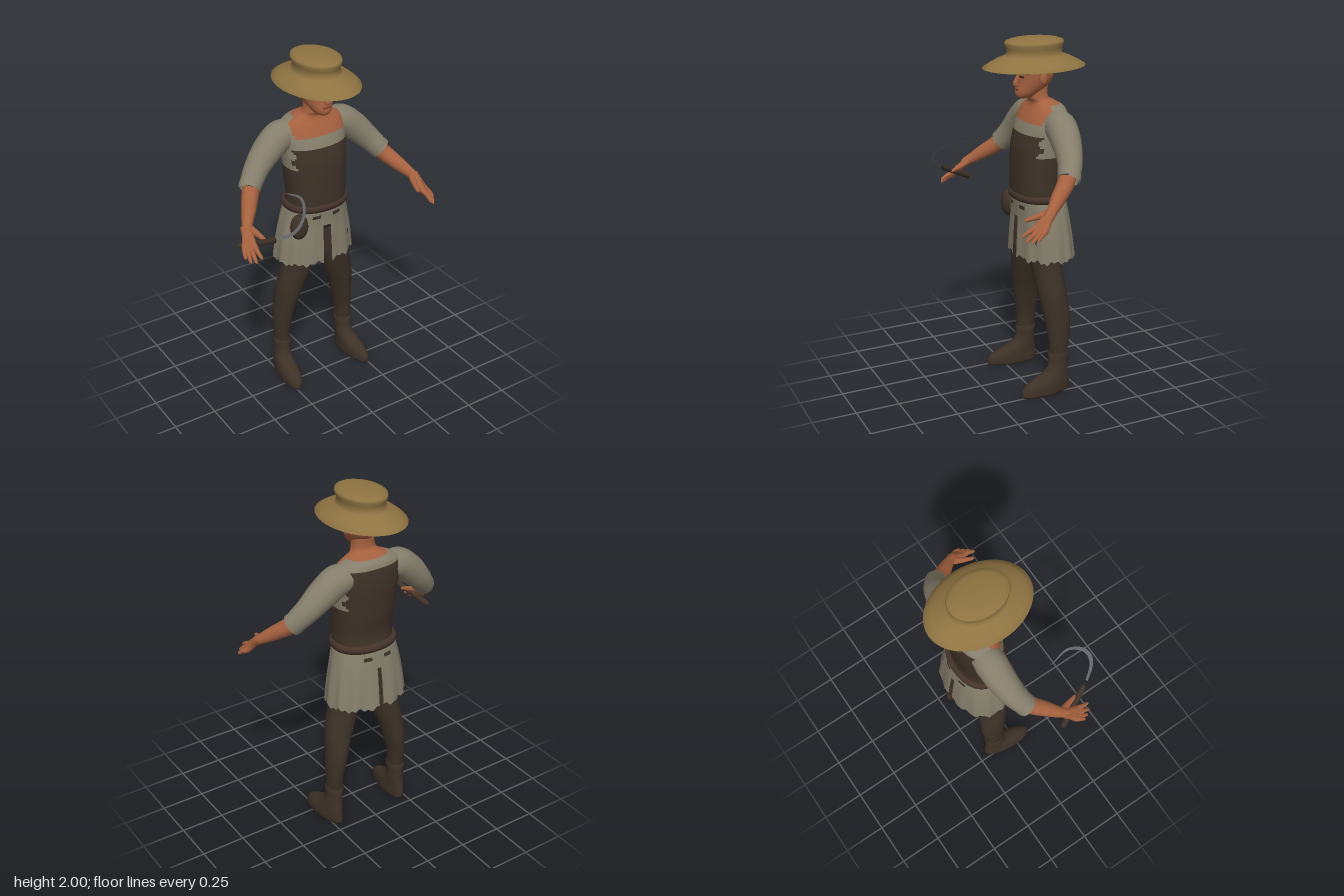
import * as THREE from 'three';

const mat = (name, color, side = THREE.FrontSide) => {
  const m = new THREE.MeshStandardMaterial({ color, side });
  m.name = name;
  return m;
};
const D = THREE.DoubleSide;

// Stack of oval rings, bottom to top: [y, centreX, halfWidth, zFront, zBack].
// rule(x, y, z) picks the material index per quad (-1 leaves a hole).
function loft(sections, { rows = 0, segs = 32, power = 1, rule = () => 0, warp } = {}) {
  const sample = (t) => {
    const f = t * (sections.length - 1), i = Math.min(Math.floor(f), sections.length - 2), k = f - i;
    const at = (j) => sections[Math.max(0, Math.min(sections.length - 1, j))];
    return sections[i].map((_, c) => {
      const [a, b, d, e] = [at(i - 1)[c], at(i)[c], at(i + 1)[c], at(i + 2)[c]];
      return b + 0.5 * k * (d - a + k * (2 * a - 5 * b + 4 * d - e + k * (3 * (b - d) + e - a)));
    });
  };
  const n = rows || sections.length - 1, pos = [], v = new THREE.Vector3();
  for (let i = 0; i <= n; i++) {
    const [y, cx, hw, zf, zb] = rows ? sample(i / n) : sections[i];
    for (let j = 0; j < segs; j++) {
      const a = (j / segs) * Math.PI * 2, c = Math.cos(a), s = Math.sin(a);
      v.set(cx + hw * Math.sign(c) * Math.abs(c) ** power, y,
        (zf + zb) / 2 + ((zf - zb) / 2) * Math.sign(s) * Math.abs(s) ** power);
      if (warp) warp(v, a, i / n);
      pos.push(v.x, v.y, v.z);
    }
  }
  const lists = [];
  for (let i = 0; i < n; i++) for (let j = 0; j < segs; j++) {
    const A = i * segs + j, B = i * segs + ((j + 1) % segs), C = A + segs, E = B + segs;
    const mid = (k) => (pos[A * 3 + k] + pos[B * 3 + k] + pos[C * 3 + k] + pos[E * 3 + k]) / 4;
    const m = rule(mid(0), mid(1), mid(2));
    if (m >= 0) (lists[m] ??= []).push(A, C, B, C, E, B);
  }
  const g = new THREE.BufferGeometry();
  g.setAttribute('position', new THREE.Float32BufferAttribute(pos, 3));
  g.setIndex(lists.flat());
  let start = 0;
  lists.forEach((l, m) => { g.addGroup(start, l.length, m); start += l.length; });
  g.computeVertexNormals();
  return g;
}

// Round limb through [x, y, z, radius] points
function limb(points, steps = 20, sides = 16) {
  const curve = new THREE.CatmullRomCurve3(points.map((p) => new THREE.Vector3(p[0], p[1], p[2])));
  const g = new THREE.TubeGeometry(curve, steps, 1, sides), p = g.attributes.position, v = new THREE.Vector3();
  for (let i = 0; i <= steps; i++) {
    const c = curve.getPointAt(i / steps), f = curve.getUtoTmapping(i / steps) * (points.length - 1);
    const k = Math.min(Math.floor(f), points.length - 2);
    const r = THREE.MathUtils.lerp(points[k][3], points[k + 1][3], f - k);
    for (let j = 0; j <= sides; j++) {
      const q = i * (sides + 1) + j;
      v.fromBufferAttribute(p, q).sub(c).multiplyScalar(r).add(c);
      p.setXYZ(q, v.x, v.y, v.z);
    }
  }
  return g;
}

export function createModel() {
  const root = new THREE.Group();
  root.name = 'farmWorker';
  const skin = mat('skin', 0xa5613f), cloth = mat('linen', 0x857e6b, D), leather = mat('leather', 0x3e3227, D);
  const wool = mat('leggings', 0x3b3126), straw = mat('straw', 0x8f7442, D), beltMat = mat('belt', 0x44342a);
  const steel = mat('steel', 0x62666a, D), dark = mat('faceDark', 0x3f241a), lip = mat('lips', 0x7d4430);
  const add = (name, geo, material) => {
    const m = new THREE.Mesh(geo, material);
    m.name = name;
    root.add(m);
    return m;
  };

  // Straw hat
  const hat = [[.205, 1.838], [.217, 1.842], [.19, 1.864], [.155, 1.887], [.125, 1.902], [.114, 1.918], [.118, 1.945],
    [.125, 1.966], [.122, 1.98], [.1, 1.99], [.06, 1.997], [0, 2]].map((p) => new THREE.Vector2(...p));
  const hatMesh = add('hat', new THREE.LatheGeometry(hat, 48), straw);
  hatMesh.scale.z = 1.345;
  hatMesh.position.z = -.084;

  // Head and face
  add('head', loft([[1.672, 0, .004, -.02, -.03], [1.676, 0, .03, .012, -.06], [1.695, 0, .052, .025, -.1], [1.725, 0, .072, .023, -.145],
    [1.76, 0, .088, .017, -.178], [1.8, 0, .098, .014, -.193], [1.85, 0, .1, .016, -.195], [1.91, 0, .085, -.005, -.175],
    [1.95, 0, .004, -.08, -.09]], { rows: 32 }), skin);
  add('nose', limb([[0, 1.815, .003, .009], [0, 1.78, .018, .012], [0, 1.753, .026, .017], [0, 1.742, .014, .008]]), skin);
  add('mouth', new THREE.BoxGeometry(.046, .009, .009), lip).position.set(0, 1.722, .02);
  for (const s of [1, -1]) {
    const ear = add('ear', new THREE.SphereGeometry(1, 14, 10), skin);
    ear.scale.set(.012, .034, .022);
    ear.position.set(s * .1, 1.79, -.09);
    for (const [name, y, w, h] of [['eye', 1.795, .026, .009], ['eyebrow', 1.817, .038, .008]]) {
      const e = add(name, new THREE.BoxGeometry(w, h, .009), dark);
      e.position.set(s * .038, y, .007);
      e.rotation.y = s * .35;
    }
  }

  // Torso: leather jerkin, linen yoke and bare neckline
  add('torso', loft([[1.12, 0, .172, .034, -.235], [1.2, 0, .172, .036, -.226], [1.3, 0, .178, .034, -.24],
    [1.4, 0, .184, .028, -.25], [1.48, 0, .19, .008, -.255], [1.545, 0, .195, -.015, -.253], [1.6, 0, .182, -.042, -.245],
    [1.63, 0, .145, -.058, -.23], [1.652, 0, .09, -.06, -.195], [1.68, 0, .066, -.048, -.157],
    [1.76, 0, .06, -.05, -.16]], {
    rows: 64, segs: 72, power: .87,
    rule: (x, y, z) => {
      const front = z > -.12, ax = Math.abs(x), rag = .012 * Math.sin(y * 90);
      if (y > (front ? 1.545 : 1.642) && ax < .15 + (y - 1.545) * .35) return 2;
      if (ax > .165 + rag) return y < 1.38 + rag ? 1 : 0;
      return y < (front ? 1.483 : 1.595) ? 1 : 0;
    },
  }), [cloth, leather, skin]);

  // Belt and pouch
  add('belt', loft([[1.108, 0, .165, .02, -.23], [1.11, 0, .187, .041, -.253], [1.128, 0, .19, .044, -.257],
    [1.146, 0, .186, .041, -.253], [1.149, 0, .165, .02, -.22]], { segs: 48, power: .9 }), beltMat);
  const pouch = add('pouch', new THREE.SphereGeometry(1, 24, 16), leather);
  pouch.scale.set(.053, .077, .042);
  pouch.position.set(-.164, 1.034, -.005);

  // Tunic skirt with folds, ragged hem and a slit at front and back
  add('tunicSkirt', loft([[.78, 0, .237, .035, -.295], [.9, 0, .224, .03, -.282], [1.02, 0, .203, .025, -.265],
    [1.13, 0, .176, .03, -.245]], {
    rows: 36, segs: 144, power: .9,
    rule: (x, y, z) => {
      const front = z > -.12, ax = Math.abs(x);
      if (ax < (front ? .022 : .014) && y < 1.01) return -1;
      return Math.abs(y - 1.07) < .012 && Math.abs(ax - .062) < .026 ? 1 : 0;
    },
    warp: (v, a, t) => {
      const k = 1 + .022 * (1 - t) * Math.sin(a * 13 + 1);
      v.x *= k;
      v.z = -.13 + (v.z + .13) * k;
      v.y += (1 - t) ** 4 * (.008 * Math.sin(a * 11) + .007 * Math.sin(a * 29));
    },
  }), [cloth, wool]);
  add('hips', loft([[.93, 0, .03, -.07, -.14], [.96, 0, .13, -.02, -.2], [1.02, 0, .175, .005, -.235],
    [1.12, 0, .165, .02, -.23]], { rows: 12 }), wool);

  for (const s of [1, -1]) {
    const side = s > 0 ? 'left' : 'right';
    const put = (rows) => rows.map(([x, ...rest]) => [x * s, ...rest]);
    // Legs and boots
    const mirror = (rows) => rows.map(([y, x, ...rest]) => [y, x * s, ...rest]);
    add(side + 'Leg', loft(mirror([[.18, .213, .042, -.09, -.185], [.25, .214, .044, -.083, -.192], [.33, .212, .049, -.076, -.203],
      [.43, .2, .059, -.06, -.213], [.52, .184, .069, -.045, -.207], [.6, .164, .081, -.032, -.198], [.75, .124, .092, -.012, -.188],
      [.9, .117, .093, 0, -.205], [1.04, .095, .08, -.01, -.21]]), { rows: 40 }), wool);
    add(side + 'Boot', loft(mirror([[0, .226, .002, -.05, -.052], [0, .226, .049, .096, -.2], [.012, .226, .053, .1, -.205],
      [.04, .226, .055, .098, -.205], [.065, .226, .054, .075, -.203], [.09, .224, .052, .02, -.2], [.12, .221, .048, -.045, -.195],
      [.15, .218, .046, -.075, -.192], [.2, .216, .046, -.08, -.193], [.23, .215, .051, -.076, -.198],
      [.236, .215, .04, -.09, -.185]]), { warp: (v, a, t) => { v.x += s * (v.z + .07) * .1 * (1 - t); } }), leather);
    // Sleeves, forearms and hands
    add(side + 'Sleeve', limb(put([[.11, 1.55, -.15, .07], [.195, 1.54, -.146, .087], [.28, 1.48, -.137, .081], [.36, 1.4, -.117, .068],
      [.425, 1.325, -.08, .059]]), 30, 24), cloth);
    add(side + 'SleeveHem', limb(put([[.41, 1.342, -.091, .05], [.412, 1.34, -.09, .062], [.43, 1.319, -.076, .061],
      [.432, 1.317, -.074, .047]]), 8, 24), cloth);
    add(side + 'Forearm', limb(put([[.39, 1.36, -.1, .045], [.44, 1.3, -.05, .047], [.485, 1.252, .01, .041], [.53, 1.204, .07, .029],
      [.545, 1.185, .098, .027], [.555, 1.17, .12, .012]])), skin);
    const fingers = [[.548, 1.13, .172, .548, 1.092, .25], [.563, 1.118, .168, .575, 1.07, .24],
      [.578, 1.113, .157, .595, 1.066, .216], [.588, 1.118, .14, .61, 1.08, .188]];
    fingers.forEach(([kx, ky, kz, x, y, z], i) => add(side + 'Finger' + (i + 1), limb(put([[.53 + i * .008, 1.2, .075, .02],
      [(.54 + kx) / 2 + .002, (1.19 + ky) / 2, (.09 + kz) / 2, .021], [kx, ky, kz, .018],
      [(kx + x) / 2 + .003, (ky + y) / 2 + .004, (kz + z) / 2, .012], [x, y, z, .008], [x, y - .003, z + .003, .001]]), 18, 10), skin));
    add(side + 'Thumb', limb(put([[.53, 1.195, .08, .02], [.513, 1.178, .13, .018], [.5, 1.165, .17, .013], [.491, 1.155, .206, .009],
      [.49, 1.153, .211, .001]]), 16, 10), skin);
  }

  // Sickle in the right hand: round grip and flat curved blade
  add('sickleGrip', limb([[-.58, 1.083, .055, .001], [-.58, 1.083, .056, .017], [-.53, 1.135, .16, .016], [-.476, 1.193, .268, .017],
    [-.475, 1.194, .27, .001]], 24, 12), leather);
  const arc = new THREE.CatmullRomCurve3([[-.473, 1.203, .292], [-.428, 1.245, .356], [-.385, 1.294, .374], [-.34, 1.348, .345],
    [-.308, 1.388, .26], [-.33, 1.366, .142]].map((p) => new THREE.Vector3(...p)));
  const hub = new THREE.Vector3(-.388, 1.295, .23), pos = [], idx = [], n = 28;
  for (let i = 0; i <= n; i++) {
    const t = i / n, p = arc.getPointAt(t), w = .002 + .028 * Math.min(1, .5 + 1.6 * t) * (1 - t) ** .6;
    const q = hub.clone().sub(p).setLength(w).add(p);
    pos.push(p.x, p.y, p.z, q.x, q.y, q.z);
    if (i < n) idx.push(2 * i, 2 * i + 1, 2 * i + 2, 2 * i + 1, 2 * i + 3, 2 * i + 2);
  }
  const blade = new THREE.BufferGeometry();
  blade.setAttribute('position', new THREE.Float32BufferAttribute(pos, 3));
  blade.setIndex(idx);
  blade.computeVertexNormals();
  add('sickleBlade', blade, steel);
  return root;
}
